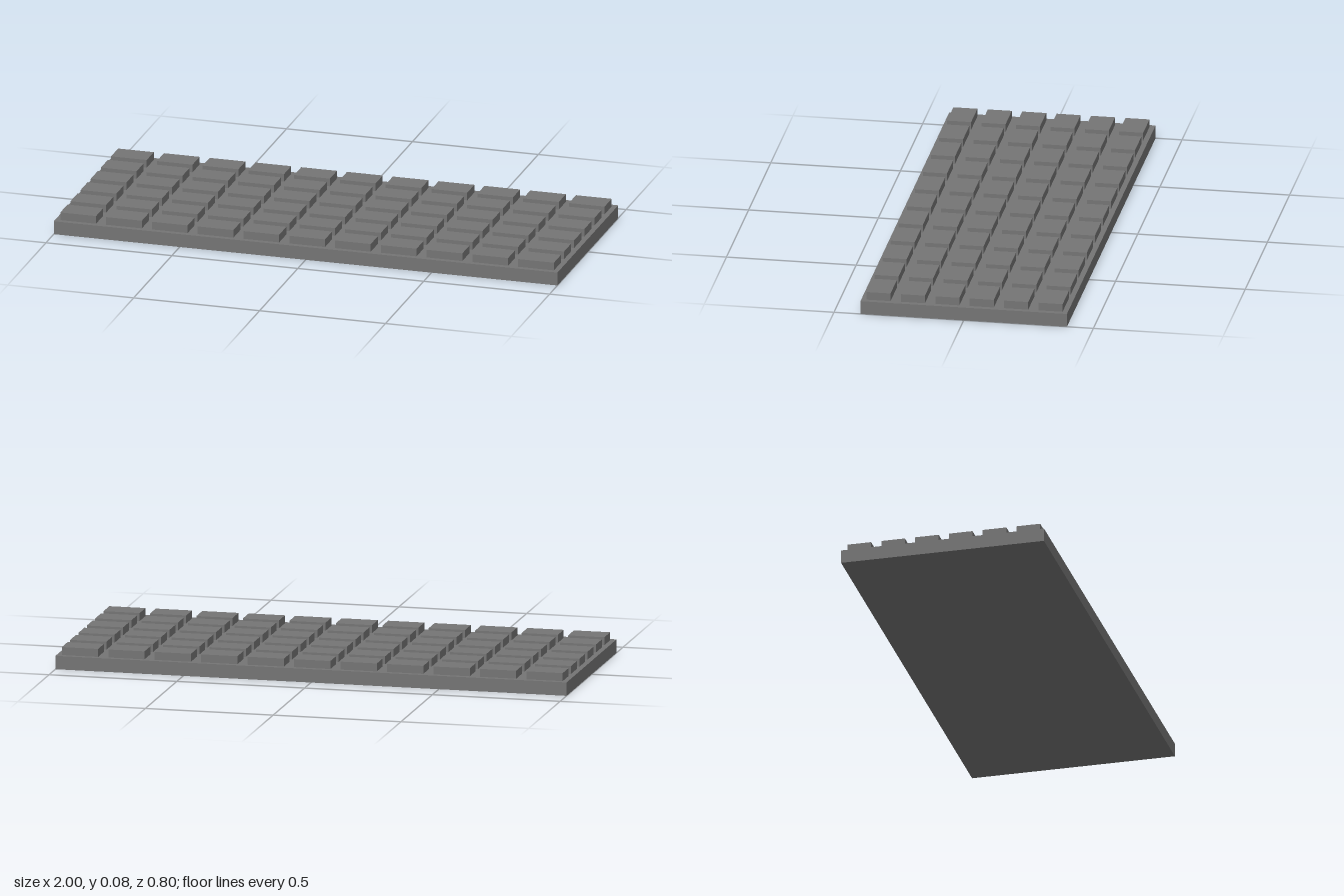
import * as THREE from 'three';

const WIDTH = 2, DEPTH = 0.796;
const PLATE_H = 0.052, KEY_H = 0.031;
const COLS = 11, ROWS = 6, GAP = 0.04;

export function createModel() {
  const model = new THREE.Group();
  model.name = 'keyPad';
  const material = new THREE.MeshStandardMaterial({ color: 0x757575 });

  // Flat base plate
  const plate = new THREE.Mesh(new THREE.BoxGeometry(WIDTH, PLATE_H, DEPTH), material);
  plate.name = 'basePlate';
  plate.position.y = PLATE_H / 2;
  model.add(plate);

  // Grid of equal keys, each centred in its cell
  const keys = new THREE.Group();
  keys.name = 'keys';
  const cellX = WIDTH / COLS, cellZ = DEPTH / ROWS;
  const keyGeometry = new THREE.BoxGeometry(cellX - GAP, KEY_H, cellZ - GAP);
  for (let row = 0; row < ROWS; row++) {
    for (let col = 0; col < COLS; col++) {
      const key = new THREE.Mesh(keyGeometry, material);
      key.name = `keyRow${row + 1}Column${col + 1}`;
      key.position.set(
        (col + 0.5) * cellX - WIDTH / 2,
        PLATE_H + KEY_H / 2,
        (row + 0.5) * cellZ - DEPTH / 2
      );
      keys.add(key);
    }
  }
  model.add(keys);

  return model;
}
